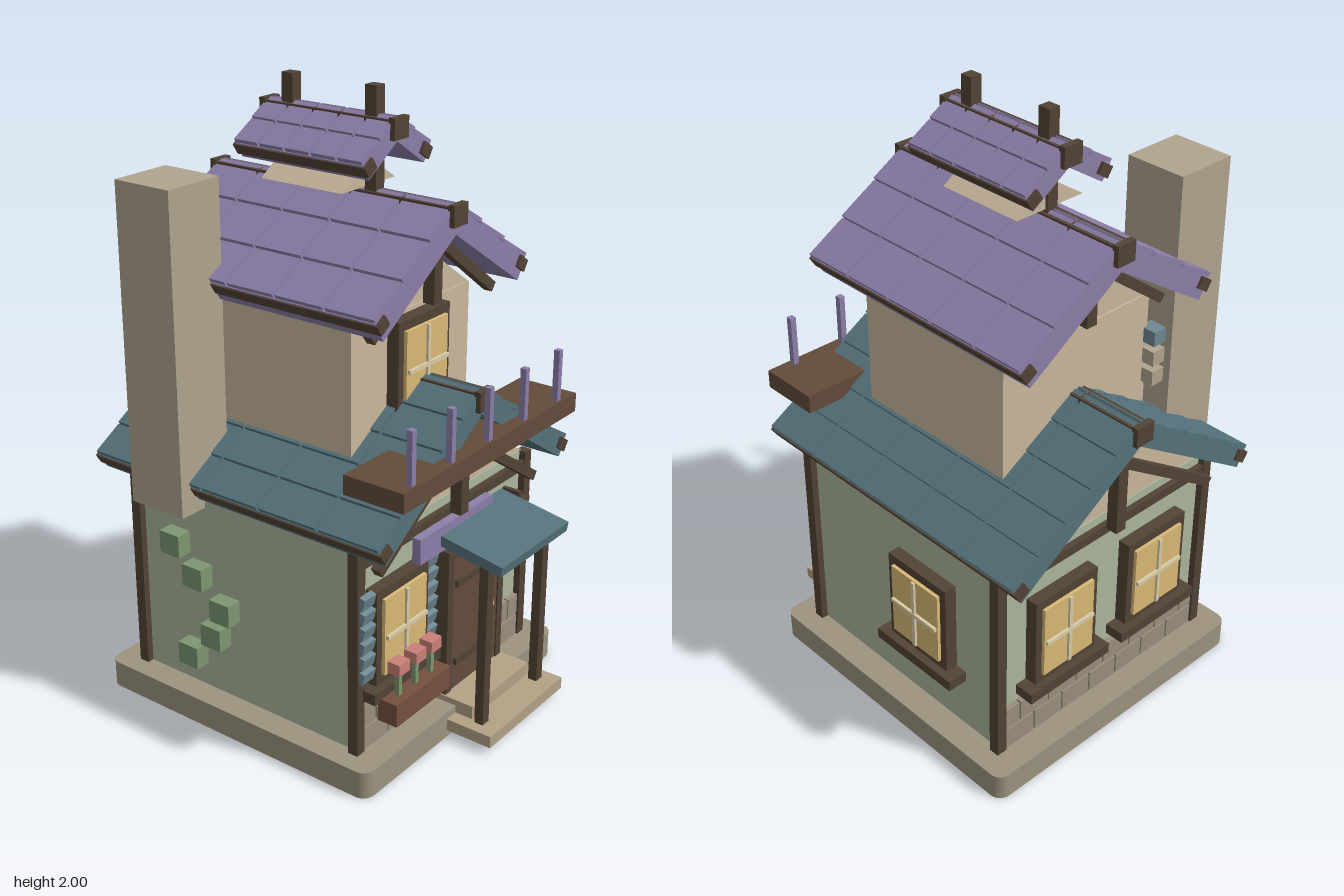
import * as THREE from 'three';

const C = {
  wood: 0x524335, door: 0x624c3b, sage: 0xabb69c, stone: 0x9c947f, brick: 0x9b8f7e, cream: 0xc9b89c,
  teal: 0x55727b, purple: 0x8c7fa8, glass: 0xd9b976, bar: 0xd9cda8, chimney: 0xb0a48e,
  slate: 0x6f8892, leaf: 0x7c9670, pot: 0x75503f, pink: 0xc98078, step: 0xb3a286,
};
const mats = {};
const mat = (c) => (mats[c] ??= new THREE.MeshStandardMaterial({ color: c, flatShading: true }));
const CZ = -0.065; // centre of the house in z
const A = THREE.MathUtils.degToRad(33); // roof pitch

function add(parent, name, geo, color, x, y, z) {
  const m = new THREE.Mesh(geo, mat(color));
  m.name = name;
  m.position.set(x, y, z);
  parent.add(m);
  return m;
}
// box given by its centre and size
const box = (parent, name, color, x, y, z, w, h, d) =>
  add(parent, name, new THREE.BoxGeometry(w, h, d), color, x, y, z);
// box given by its limits
const span = (parent, name, color, x0, x1, y0, y1, z0, z1) =>
  box(parent, name, color, (x0 + x1) / 2, (y0 + y1) / 2, (z0 + z1) / 2, x1 - x0, y1 - y0, z1 - z0);

function group(parent, name, x = 0, y = 0, z = 0, ry = 0) {
  const g = new THREE.Group();
  g.name = name;
  g.position.set(x, y, z);
  g.rotation.y = ry;
  parent.add(g);
  return g;
}

// triangular prism under a roof
function gable(parent, name, half, y0, y1, z0, z1) {
  const s = new THREE.Shape([[-half, y0], [half, y0], [0, y1]].map((p) => new THREE.Vector2(...p)));
  add(parent, name, new THREE.ExtrudeGeometry(s, { depth: z1 - z0, bevelEnabled: false }), C.cream, 0, 0, z0);
}

// pitched roof: two slabs with stepped tiles, eave battens, ridge beam and caps
function roof(parent, name, color, apex, half, z0, z1, rows, cols, t) {
  const g = group(parent, name);
  const L = half / Math.cos(A), zc = (z0 + z1) / 2, len = z1 - z0;
  for (const s of [-1, 1]) {
    const side = group(g, s > 0 ? 'leftSlope' : 'rightSlope', 0, apex, 0);
    side.rotation.z = -s * A;
    box(side, 'slab', color, s * L / 2, -t / 2, zc, L, t, len - 0.01);
    box(side, 'eaveBatten', C.wood, s * (L - 0.018), -0.022, zc, 0.045, 0.038, len + 0.01);
    const tw = L / cols, td = len / rows;
    for (let i = 0; i < cols; i++) for (let j = 0; j < rows; j++) {
      const tile = box(side, 'tile', color, s * (i + 0.5) * tw, 0.006, z0 + (j + 0.5) * td, tw - 0.004, 0.014, td - 0.01);
      tile.rotation.z = s * 0.05;
    }
  }
  box(g, 'ridgeBeam', C.wood, 0, apex - 0.02, zc, 0.06, 0.04, len - 0.01);
  for (const z of [z0, z1]) box(g, 'ridgeCap', C.wood, 0, apex - 0.025, z, 0.07, 0.065, 0.022);
}

// gable truss: king post and two braces
function truss(parent, name, half, y0, y1, top, z) {
  const g = group(parent, name, 0, 0, z);
  span(g, 'kingPost', C.wood, -0.02, 0.02, y0 + 0.03, top, -0.02, 0.02);
  const dy = y1 - y0;
  for (const s of [-1, 1]) {
    const b = box(g, 'brace', C.wood, s * half / 2, (y0 + y1) / 2, 0, Math.hypot(half, dy), 0.032, 0.03);
    b.rotation.z = -s * Math.atan2(dy, half);
  }
}

// window facing +z of its group, origin at the wall surface
function makeWindow(parent, name, x, y, z, ry, sill = true) {
  const g = group(parent, name, x, y, z, ry);
  const w = 0.26, h = 0.315, b = 0.032;
  for (const s of [-1, 1]) {
    box(g, 'frameSide', C.wood, s * (w - b) / 2, 0, 0.02, b, h, 0.045);
    box(g, 'frameRail', C.wood, 0, s * (h - b) / 2, 0.02, w, b, 0.045);
  }
  box(g, 'pane', C.glass, 0, 0, 0.027, 0.21, 0.255, 0.054);
  box(g, 'muntin', C.bar, 0, 0, 0.055, 0.013, 0.25, 0.014);
  box(g, 'muntin', C.bar, 0, 0, 0.056, 0.2, 0.013, 0.016);
  if (sill) box(g, 'sill', C.wood, 0, -h / 2 - 0.02, 0.03, 0.34, 0.036, 0.075);
}

// two courses of stones along a wall, skipping an optional gap
function stones(parent, name, z, gap0 = 9, gap1 = 9) {
  const g = group(parent, name);
  for (let r = 0; r < 2; r++) for (let i = 0; i < 8; i++) {
    const a = Math.max(-0.43, -0.43 + (i - r * 0.5) * 0.123), b = Math.min(0.43, -0.43 + (i + 1 - r * 0.5) * 0.123);
    if (b - a < 0.02 || (b > gap0 && a < gap1)) continue;
    span(g, 'stone', C.brick, a + 0.003, b - 0.003, 0.092 + r * 0.08, 0.166 + r * 0.08, z - 0.014, z + 0.014);
  }
}

export function createModel() {
  const root = new THREE.Group();
  root.name = 'cottage';

  // base slab with rounded corners
  const h = 0.533, r = 0.04, s = new THREE.Shape();
  [[1, 1, 0], [-1, 1, 1], [-1, -1, 2], [1, -1, 3]].forEach(([x, y, q]) =>
    s.absarc(x * (h - r), y * (h - r), r, q * Math.PI / 2, (q + 1) * Math.PI / 2, false));
  add(root, 'base', new THREE.ExtrudeGeometry(s, { depth: 0.09, bevelEnabled: false, curveSegments: 4 }),
    C.stone, 0.003, 0, CZ).rotation.x = -Math.PI / 2;

  // ground floor
  span(root, 'groundWalls', C.sage, -0.445, 0.445, 0.09, 0.77, -0.495, 0.365);
  gable(root, 'lowerGable', 0.44, 0.77, 1.06, -0.49, 0.36);
  for (const x of [-0.45, 0.45]) for (const z of [-0.5, 0.37])
    box(root, 'cornerPost', C.wood, x, 0.43, z, 0.036, 0.68, 0.036);
  for (const z of [-0.5, 0.37]) box(root, 'tieBeam', C.wood, 0, 0.725, z, 0.9, 0.032, 0.03);
  for (const z of [-0.54, 0.42]) truss(root, 'lowerTruss', 0.42, 0.705, 0.985, 1.12, z);
  roof(root, 'lowerRoof', C.teal, 1.15, 0.505, -0.622, 0.495, 5, 5, 0.062);
  stones(root, 'frontStones', 0.37, -0.05, 0.24);
  stones(root, 'backStones', -0.5);

  // upper floor
  span(root, 'upperWalls', C.cream, -0.3, 0.3, 0.8, 1.36, -0.36, 0.235);
  gable(root, 'upperGable', 0.3, 1.36, 1.57, -0.355, 0.23);
  for (const z of [-0.39, 0.305]) truss(root, 'upperTruss', 0.31, 1.355, 1.585, 1.65, z);
  roof(root, 'upperRoof', C.purple, 1.69, 0.385, -0.517, 0.387, 5, 3, 0.072);
  for (let i = 0; i < 3; i++)
    box(root, 'cornerBlock', i === 2 ? C.slate : C.chimney, -0.31, 1.08 + i * 0.07, -0.375, 0.05, 0.05, 0.06);

  // cupola
  gable(root, 'cupolaGable', 0.13, 1.7, 1.785, -0.235, 0.07);
  roof(root, 'cupolaRoof', C.purple, 1.91, 0.165, -0.308, 0.176, 5, 2, 0.055);
  for (const z of [-0.222, 0.09]) span(root, 'finial', C.wood, -0.02, 0.02, 1.68, 2, z - 0.021, z + 0.021);

  // chimney
  span(root, 'chimney', C.chimney, -0.545, -0.335, 0.73, 1.75, -0.43, -0.22);

  // windows
  makeWindow(root, 'frontWindow', -0.27, 0.467, 0.365, 0);
  makeWindow(root, 'upperWindow', 0.003, 1.19, 0.235, 0, false);
  makeWindow(root, 'sideWindow', 0.445, 0.467, -0.18, Math.PI / 2);
  for (const x of [-0.2, 0.2]) makeWindow(root, 'backWindow', x, 0.467, -0.495, Math.PI);

  // slatted shutters
  for (const x of [-0.432, -0.112]) {
    const g = group(root, 'shutter', x, 0.335, 0.385);
    box(g, 'backing', C.slate, 0, 0.14, 0, 0.045, 0.28, 0.015);
    for (let i = 0; i < 6; i++) box(g, 'slat', C.slate, 0, 0.025 + i * 0.05, 0.008, 0.056, 0.038, 0.022).rotation.x = 0.25;
  }

  // flower box
  const fb = group(root, 'flowerBox', -0.27, 0.205, 0.455);
  box(fb, 'trough', C.pot, 0, 0.037, 0, 0.28, 0.075, 0.07);
  box(fb, 'bracket', C.wood, 0, 0.04, -0.055, 0.2, 0.03, 0.06);
  for (const x of [-0.085, 0, 0.08]) {
    box(fb, 'stem', C.leaf, x, 0.11, 0, 0.016, 0.09, 0.016);
    box(fb, 'flower', C.pink, x, 0.173, 0, 0.052, 0.038, 0.045);
  }

  // door
  const door = group(root, 'door', 0.105, 0, 0.4);
  span(door, 'leaf', C.door, -0.13, 0.13, 0.09, 0.585, -0.04, 0.02);
  for (const x of [-0.145, 0.145]) span(door, 'jamb', C.wood, x - 0.015, x + 0.015, 0.09, 0.61, -0.04, 0.025);
  span(door, 'lintel', C.wood, -0.16, 0.16, 0.585, 0.615, -0.04, 0.025);
  for (const y of [0.21, 0.49]) box(door, 'strap', C.wood, 0, y, 0.024, 0.23, 0.022, 0.014);
  box(door, 'handle', C.glass, 0.07, 0.345, 0.03, 0.022, 0.022, 0.025);

  // porch
  for (const x of [-0.052, 0.267]) span(root, 'porchPost', C.wood, x - 0.017, x + 0.017, 0.05, 0.635, 0.545, 0.576);
  box(root, 'porchBeam', C.wood, 0.107, 0.622, 0.56, 0.35, 0.028, 0.03);
  box(root, 'porchRoof', C.teal, 0.105, 0.653, 0.507, 0.385, 0.034, 0.255).rotation.x = 0.17;
  span(root, 'lowerStep', C.step, -0.108, 0.322, 0.025, 0.065, 0.44, 0.63);
  span(root, 'upperStep', C.step, -0.06, 0.27, 0.065, 0.11, 0.38, 0.53);
  span(root, 'signBoard', C.purple, -0.195, 0.2, 0.63, 0.715, 0.385, 0.415);

  // lantern
  box(root, 'lantern', C.glass, 0.343, 0.612, 0.42, 0.046, 0.068, 0.046);
  for (const y of [0.574, 0.65]) box(root, 'lanternCap', C.wood, 0.343, y, 0.42, 0.056, 0.012, 0.054);
  box(root, 'lanternArm', C.wood, 0.343, 0.665, 0.395, 0.016, 0.02, 0.07);

  // balcony shelf and railing posts
  span(root, 'balcony', C.door, -0.46, 0.47, 0.943, 1.005, 0.33, 0.54);
  for (let i = 0; i < 5; i++) box(root, 'railPost', C.purple, -0.4 + i * 0.195, 1.088, 0.52, 0.02, 0.17, 0.02);

  // climbing plant on the right wall
  for (const [y, z] of [[0.59, -0.33], [0.5, -0.24], [0.41, -0.13], [0.31, -0.17], [0.21, -0.27]])
    box(root, 'ivy', C.leaf, -0.47, y, z, 0.055, 0.075, 0.08);

  return root;
}
